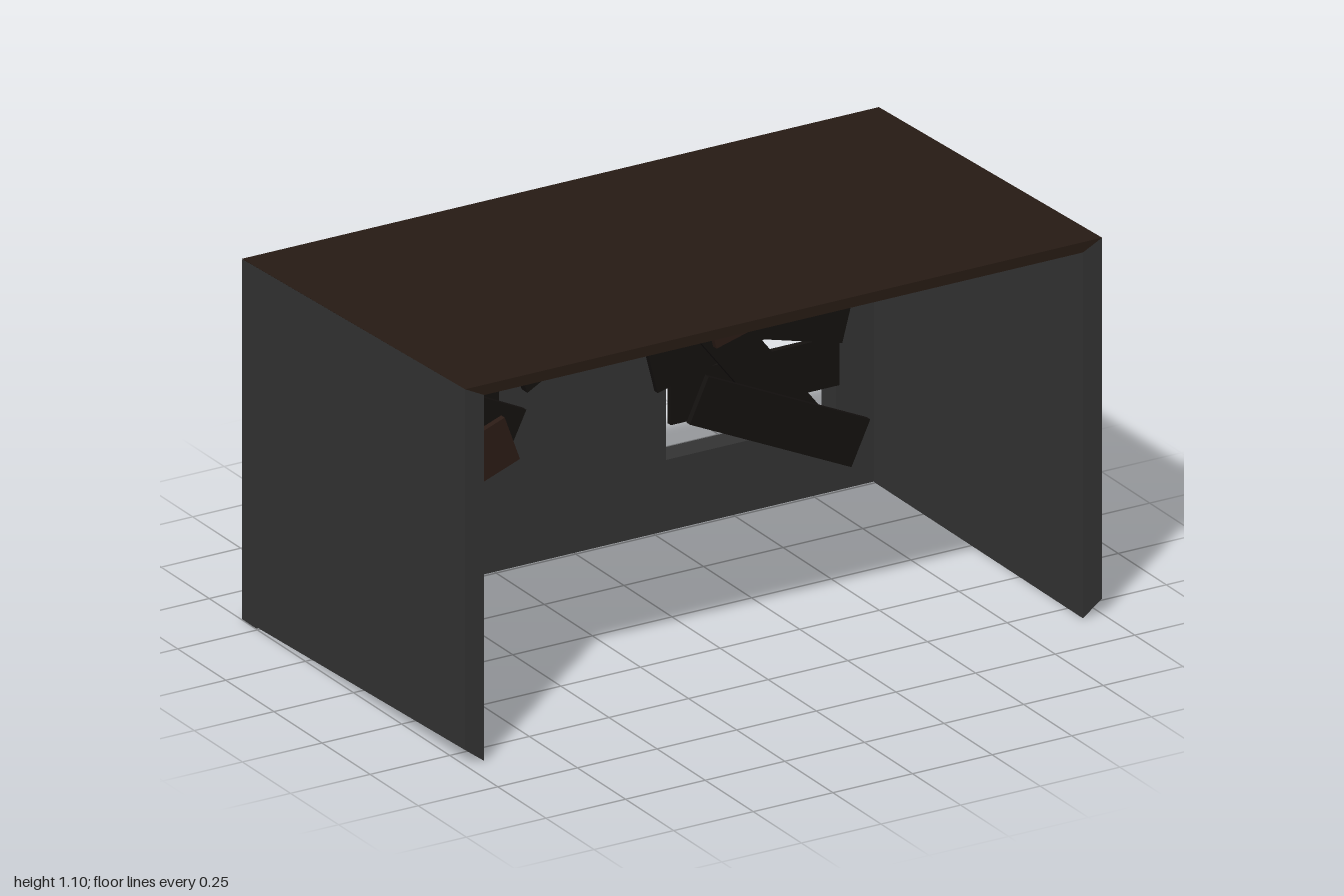
import * as THREE from 'three';
import { RoundedBoxGeometry } from 'three/addons/geometries/RoundedBoxGeometry.js';

const paint = (color) => new THREE.MeshStandardMaterial({ color, flatShading: true });
const WALL = paint(0x333333), ROOF = paint(0x271b14), DARK = paint(0x14110f);
const BROWN = paint(0x2b1b15), GREY = paint(0x707070), PANE = paint(0x484848);

// Solid between a front and a back four-cornered loop, both counter-clockwise from +z
function loft(front, back) {
  const quads = [[...front], [...back].reverse()];
  for (let i = 0; i < 4; i++) {
    const j = (i + 1) % 4;
    quads.push([front[i], back[i], back[j], front[j]]);
  }
  const points = quads.flatMap(([a, b, c, d]) => [a, b, c, a, c, d]).flat();
  const geometry = new THREE.BufferGeometry();
  geometry.setAttribute('position', new THREE.Float32BufferAttribute(points, 3));
  geometry.computeVertexNormals();
  return geometry;
}

function shapeOf(points) {
  return new THREE.Shape(points.map(([x, y]) => new THREE.Vector2(x, y)));
}

function add(parent, name, geometry, material, x = 0, y = 0, z = 0, degrees = 0) {
  const mesh = new THREE.Mesh(geometry, material);
  mesh.name = name;
  mesh.position.set(x, y, z);
  mesh.rotation.z = THREE.MathUtils.degToRad(degrees);
  parent.add(mesh);
  return mesh;
}

const box = (w, h, d) => new THREE.BoxGeometry(w, h, d);

export function createModel() {
  const model = new THREE.Group();

  // Side walls with sloping lower and upper edges
  const front = [[0.94, 0, 0.58], [1, 0.045, 0.58], [1, 1.1, 0.58], [0.94, 1.07, 0.58]];
  const back = [[0.94, 0, -0.505], [1, 0.004, -0.58], [1, 1.055, -0.58], [0.94, 1, -0.505]];
  const mirror = (loop) => loop.map(([x, y, z]) => [-x, y, z]).reverse();
  add(model, 'leftWall', loft(front, back), WALL);
  add(model, 'rightWall', loft(mirror(front), mirror(back)), WALL);

  // Roof falling gently towards the back
  add(model, 'roof', loft(
    [[-0.94, 1.07, 0.58], [0.94, 1.07, 0.58], [1, 1.1, 0.58], [-1, 1.1, 0.58]],
    [[-0.94, 1, -0.505], [0.94, 1, -0.505], [1, 1.056, -0.58], [-1, 1.056, -0.58]],
  ), ROOF);

  // Back wall with the window opening
  const wall = shapeOf([[-1, 0.002], [1, 0.002], [1, 1.054], [-1, 1.054]]);
  wall.holes.push(shapeOf([[0.286, 0.21], [0.286, 0.965], [0.82, 0.965], [0.82, 0.21]]));
  add(model, 'backWall', new THREE.ExtrudeGeometry(wall, { depth: 0.075, bevelEnabled: false }),
    WALL, 0, 0, -0.58);

  // Boards: x, y, length, width, angle, layer, material
  const boards = (name, list) => {
    const group = new THREE.Group();
    group.name = name;
    for (const [x, y, length, width, angle, layer, material] of list) {
      add(group, 'board', box(length, width, 0.018), material, x, y, -0.495 + layer * 0.019, angle);
    }
    model.add(group);
  };
  boards('windowBoards', [
    [0.65, 0.9, 0.52, 0.135, 0, 0, DARK],
    [0.6, 0.79, 0.53, 0.13, 20, 1, DARK],
    [0.65, 0.66, 0.53, 0.13, 15, 2, BROWN],
    [0.49, 0.55, 0.53, 0.135, 14, 0, DARK],
    [0.61, 0.565, 0.46, 0.12, -15, 1, DARK],
    [0.555, 0.39, 0.53, 0.145, 0, 0, DARK],
    [0.57, 0.4, 0.48, 0.13, -52, 1, DARK],
    [0.61, 0.27, 0.56, 0.14, -25, 2, DARK],
  ]);
  boards('wallBoards', [
    [-0.44, 0.49, 0.38, 0.13, 0, 0, DARK],
    [-0.44, 0.36, 0.38, 0.12, 0, 0, DARK],
    [-0.39, 0.5, 0.41, 0.14, -26, 1, DARK],
    [-0.53, 0.46, 0.4, 0.14, 22, 2, DARK],
    [-0.43, 0.35, 0.4, 0.14, 20, 3, BROWN],
    [0.12, 0.83, 0.28, 0.1, -45, 0, BROWN],
  ]);

  // Small wooden cabinet with two framed doors
  const cabinet = new THREE.Group();
  cabinet.name = 'cabinet';
  add(cabinet, 'cabinetBody', box(0.19, 0.24, 0.08), BROWN);
  for (const [y, h] of [[0.055, 0.11], [-0.075, 0.07]]) {
    add(cabinet, 'cabinetDoor', box(0.15, h, 0.012), DARK, 0, y, 0.042);
    add(cabinet, 'doorPanel', box(0.12, h - 0.03, 0.012), BROWN, 0, y, 0.047);
    add(cabinet, 'doorHandle', box(0.05, 0.02, 0.015), DARK, 0, y, 0.055);
  }
  cabinet.position.set(0.28, 0.86, -0.465);
  model.add(cabinet);

  // Stepped grey housing under the roof
  const housing = shapeOf([[-0.33, 0.79], [-0.29, 0.78], [0, 0.78], [0.04, 0.8], [0.04, 0.88],
    [0.09, 0.89], [0.09, 1.01], [-0.39, 1.01], [-0.39, 0.88], [-0.33, 0.88]]);
  add(model, 'housing', new THREE.ExtrudeGeometry(housing, { depth: 0.14, bevelEnabled: false }),
    GREY, 0, 0, -0.51);

  // Cracked pane in a dark frame hanging from the housing
  const outer = [[-0.27, 0.81], [-0.17, 0.52], [0.07, 0.65], [-0.02, 0.8]];
  const inner = [[-0.24, 0.79], [-0.155, 0.55], [0.03, 0.65], [-0.04, 0.79]];
  add(model, 'paneFrame', new THREE.ExtrudeGeometry(shapeOf(outer), { depth: 0.03, bevelEnabled: false }),
    DARK, 0, 0, -0.5);
  add(model, 'pane', new THREE.ExtrudeGeometry(shapeOf(inner), { depth: 0.01, bevelEnabled: false }),
    PANE, 0, 0, -0.475);
  const cracks = [[-0.22, 0.74, -0.14, 0.71], [-0.14, 0.71, -0.13, 0.62], [-0.13, 0.62, -0.15, 0.56],
    [-0.14, 0.71, -0.05, 0.76], [-0.13, 0.62, 0.01, 0.65], [-0.1, 0.73, -0.03, 0.69]];
  for (const [x1, y1, x2, y2] of cracks) {
    const angle = THREE.MathUtils.radToDeg(Math.atan2(y2 - y1, x2 - x1));
    add(model, 'crack', box(Math.hypot(x2 - x1, y2 - y1), 0.008, 0.004), DARK,
      (x1 + x2) / 2, (y1 + y2) / 2, -0.464, angle);
  }

  // Wall lamp on a dark bracket
  add(model, 'lampBracket', box(0.18, 0.05, 0.05), DARK, -0.61, 0.98, -0.485);
  add(model, 'lamp', new RoundedBoxGeometry(0.185, 0.06, 0.08, 3, 0.02), paint(0x999999),
    -0.605, 0.935, -0.465);
  add(model, 'lampSwitch', box(0.035, 0.018, 0.01), DARK, -0.605, 0.94, -0.424);

  return model;
}
